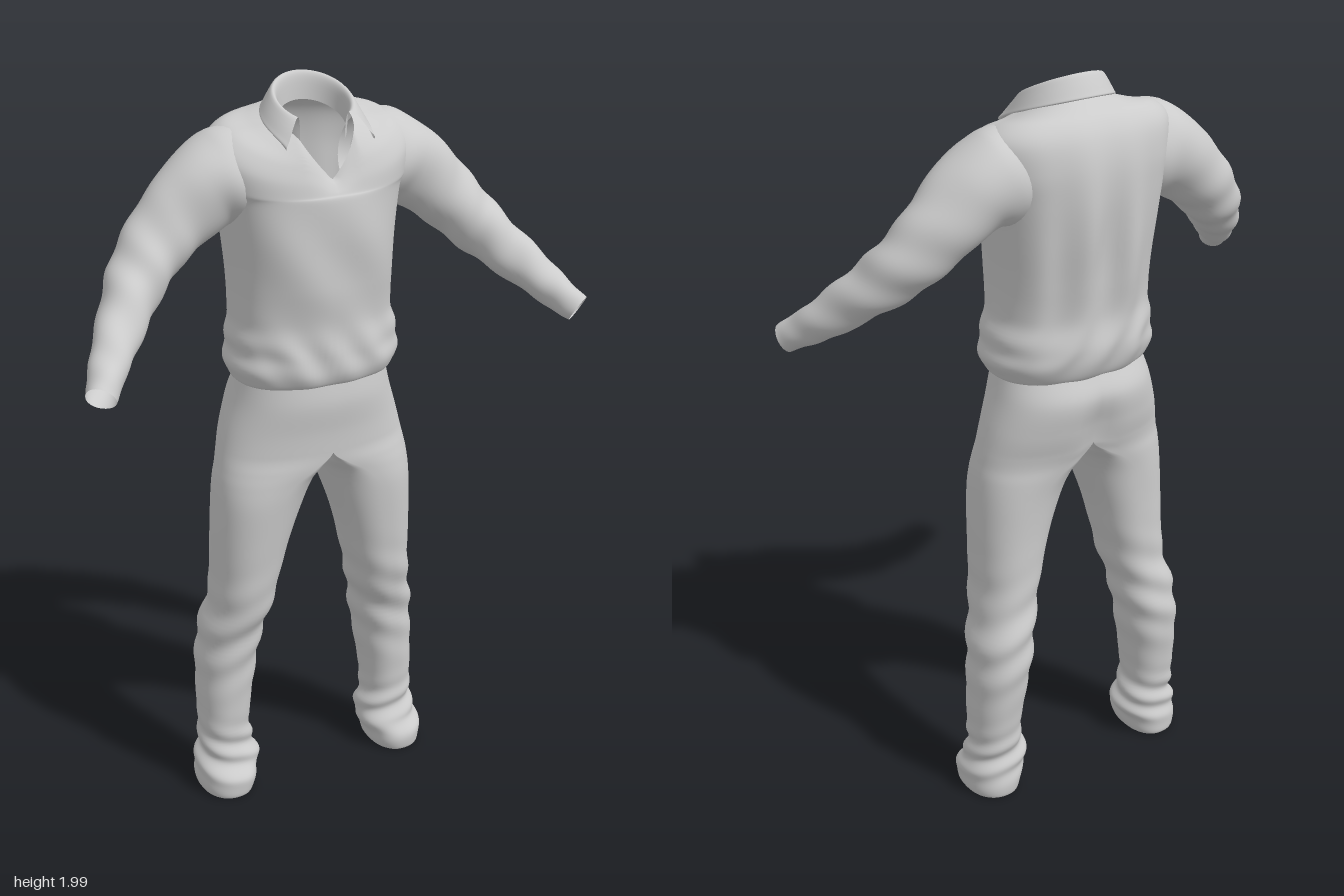
import * as THREE from 'three';

const { sin, cos, abs, sign, max, min, exp, PI } = Math;
const material = new THREE.MeshStandardMaterial({ color: 0xcccccc, side: THREE.DoubleSide });

// Surface from a point rule: u runs along the part, v across or around it
function surface(name, rows, cols, closed, point, flip = false) {
  const positions = [], index = [], stride = closed ? cols : cols + 1;
  for (let i = 0; i <= rows; i++)
    for (let j = 0; j < stride; j++) positions.push(...point(i / rows, j / cols));
  for (let i = 0; i < rows; i++)
    for (let j = 0; j < cols; j++) {
      const k = closed ? (j + 1) % cols : j + 1;
      const a = i * stride + j, b = a + stride, c = i * stride + k, d = c + stride;
      index.push(...(flip ? [a, c, b, c, d, b] : [a, b, c, c, b, d]));
    }
  const geometry = new THREE.BufferGeometry();
  geometry.setAttribute('position', new THREE.Float32BufferAttribute(positions, 3));
  geometry.setIndex(index);
  geometry.computeVertexNormals();
  const mesh = new THREE.Mesh(geometry, material);
  mesh.name = name;
  return mesh;
}

// Smooth interpolation through rows of section values
function sample(sections, u) {
  const n = sections.length - 1, f = u * n, i = min(n - 1, Math.floor(f)), t = f - i;
  const at = (k) => sections[max(0, min(n, k))];
  return sections[i].map((_, k) => {
    const [a, b, c, d] = [at(i - 1)[k], at(i)[k], at(i + 1)[k], at(i + 2)[k]];
    return b + 0.5 * t * (c - a + t * (2 * a - 5 * b + 4 * c - d + t * (3 * (b - c) + d - a)));
  });
}

const power = (s, e) => sign(s) * abs(s) ** e;
const bump = (x, centre, width) => exp(-(((x - centre) / width) ** 2));

// Shirt body: back height, half width, front z, back z, front drop, V depth, shoulder lift
const TORSO = [
  [1.265, 0.19, 0.09, -0.17, 0, 0, 0],
  [1.235, 0.213, 0.105, -0.185, 0, 0, 0],
  [1.265, 0.228, 0.12, -0.203, 0, 0, 0],
  [1.32, 0.232, 0.12, -0.213, 0, 0, 0],
  [1.4, 0.216, 0.115, -0.205, 0, 0, 0],
  [1.5, 0.215, 0.125, -0.215, 0, 0, 0],
  [1.62, 0.225, 0.13, -0.227, 0, 0, 0],
  [1.72, 0.24, 0.125, -0.232, 0, 0, 0],
  [1.8, 0.26, 0.118, -0.228, 0.06, 0, 0],
  [1.86, 0.265, 0.11, -0.213, 0.09, 0.02, 0.03],
  [1.9, 0.225, 0.1, -0.188, 0.1, 0.04, 0.035],
  [1.925, 0.16, 0.092, -0.155, 0.1, 0.06, 0.02],
  [1.945, 0.094, 0.085, -0.12, 0.1, 0.075, 0.015],
];

function torsoPoint(u, v) {
  const a = v * 2 * PI;
  const [h, w, zf, zb, drop, vee, lift] = sample(TORSO, u);
  let x = w * power(cos(a), 0.85);
  let z = (zf + zb) / 2 + ((zf - zb) / 2) * power(sin(a), 0.85);
  let y = h - (drop * (1 + sin(a))) / 2 + lift * cos(a) ** 2;
  if (sin(a) > 0) y -= vee * max(0, 1 - abs(x) / 0.075);
  // Long folds down the back, soft folds in front, gathers above the hem
  const middle = bump(h, 1.56, 0.2), face = sin(a);
  if (face < 0) z -= face * middle * (0.011 * cos(x * 48 + 0.5) + 0.006 * sin(x * 25 + y * 9));
  else z += face * middle * 0.005 * sin(x * 26 + y * 19);
  const gather = bump(h, 1.31, 0.07);
  z += face * gather * 0.006 * sin(x * 55 + y * 30);
  x += cos(a) * gather * (0.006 * sin(y * 75) + 0.006 * sign(x));
  return [x, y, z];
}

// Sleeve: centre x, y, z and radius from shoulder to cuff
const SLEEVE = [
  [0.16, 1.785, -0.065, 0.105],
  [0.22, 1.77, -0.068, 0.12],
  [0.29, 1.74, -0.068, 0.108],
  [0.38, 1.665, -0.06, 0.091],
  [0.46, 1.585, -0.028, 0.079],
  [0.53, 1.51, 0.03, 0.066],
  [0.6, 1.435, 0.11, 0.053],
  [0.645, 1.387, 0.172, 0.043],
  [0.67, 1.362, 0.205, 0.038],
];

function sleevePoint(side) {
  return (u, v) => {
    const a = v * 2 * PI;
    const [x, y, z, r] = sample(SLEEVE, u);
    const centre = new THREE.Vector3(x, y, z);
    const [p, q] = [sample(SLEEVE, max(0, u - 0.02)), sample(SLEEVE, min(1, u + 0.02))];
    const along = new THREE.Vector3(q[0] - p[0], q[1] - p[1], q[2] - p[2]).normalize();
    const up = new THREE.Vector3(0, 1, 0).addScaledVector(along, -along.y).normalize();
    const across = up.clone().cross(along);
    // Diagonal creases gathering at the elbow and forearm
    const crease = 0.05 * sin(u * 46 + 2 * a + side) * bump(u, 0.62, 0.25) + 0.025 * sin(u * 21 - 3 * a);
    centre.addScaledVector(up, r * (1 + crease) * cos(a));
    centre.addScaledVector(across, r * (1 + crease) * sin(a));
    return [side * centre.x, centre.y, centre.z];
  };
}

// Trouser half: height, inner x, middle x, outer x, front z, back z
const LEG = [
  [0.02, 0.265, 0.265, 0.265, -0.05, -0.05],
  [0.018, 0.225, 0.265, 0.315, 0.02, -0.12],
  [0.01, 0.2, 0.265, 0.34, 0.046, -0.15],
  [0.06, 0.183, 0.26, 0.348, 0.048, -0.152],
  [0.1, 0.168, 0.255, 0.342, 0.02, -0.146],
  [0.14, 0.178, 0.255, 0.33, 0.008, -0.143],
  [0.2, 0.19, 0.26, 0.328, 0.005, -0.148],
  [0.3, 0.18, 0.255, 0.328, 0.01, -0.16],
  [0.4, 0.165, 0.245, 0.325, 0.015, -0.172],
  [0.5, 0.15, 0.232, 0.315, 0.027, -0.17],
  [0.6, 0.127, 0.21, 0.293, 0.055, -0.153],
  [0.7, 0.103, 0.195, 0.288, 0.065, -0.15],
  [0.8, 0.075, 0.18, 0.286, 0.075, -0.15],
  [0.9, 0.038, 0.155, 0.282, 0.085, -0.155],
  [0.96, 0.015, 0.11, 0.277, 0.09, -0.163],
  [1.0, 0, 0.05, 0.27, 0.095, -0.172],
  [1.04, 0, 0, 0.262, 0.097, -0.187],
  [1.1, 0, 0, 0.247, 0.1, -0.203],
  [1.18, 0, 0, 0.222, 0.108, -0.213],
  [1.25, 0, 0, 0.205, 0.1, -0.183],
  [1.3, 0, 0, 0.2, 0.095, -0.175],
];

function legPoint(side) {
  return (u, v) => {
    const a = v * 2 * PI, c = power(cos(a), 0.88), s = power(sin(a), 0.88);
    let [y, xi, xm, xo, zf, zb] = sample(LEG, u);
    xi = max(0, xi);
    xm = max(xi, xm);
    let x = xm + c * (c > 0 ? xo - xm : xm - xi);
    let z = (zf + zb) / 2 + ((zf - zb) / 2) * s;
    // Cleft of the seat, knee folds and bunching over the hem
    if (s < 0) z -= s * 0.022 * bump(x, 0, 0.045) * bump(y, 1.08, 0.09);
    const knee = bump(y, 0.5, 0.14), ankle = bump(y, 0.13, 0.07);
    const fold = 0.005 * knee * sin(y * 60 + x * 30 + side) + 0.006 * ankle * sin(y * 95 + a * 2 + side);
    z += s * fold;
    x += c * fold;
    return [side * x, max(0, y), z];
  };
}

// Blend the shading of the two trouser halves across the centre seam
function softenSeam(mesh) {
  const { position, normal } = mesh.geometry.attributes;
  for (let i = 0; i < position.count; i++) {
    if (abs(position.getX(i)) > 0.001 || position.getY(i) < 1.03) continue;
    const n = new THREE.Vector3(0, normal.getY(i), normal.getZ(i)).normalize();
    normal.setXYZ(i, 0, n.y, n.z);
  }
  return mesh;
}

// Folded collar: outward offset and height from inner band over the fold to leaf edge
const COLLAR = [[-0.01, -0.07], [-0.008, -0.025], [-0.003, -0.004], [0.006, 0], [0.018, -0.018], [0.031, -0.042], [0.036, -0.052], [0.03, -0.056]];

function collarPoint(u, v) {
  const s = u * 2 - 1, angle = s * PI * 0.74;
  const [out, rise] = sample(COLLAR, v);
  const r = 0.097 + out * (1 + 0.3 * s ** 6), tip = max(0, v - 0.4) * s ** 8;
  const foldZ = -0.02 - 0.09 * cos(angle);
  return [
    r * sin(angle) + sign(s) * tip * 0.035,
    1.998 - 0.5 * (foldZ + 0.11) + rise - tip * 0.02,
    -0.02 - (r - 0.007) * cos(angle) + tip * 0.012,
  ];
}

export function createModel() {
  const model = new THREE.Group();
  model.name = 'outfit';
  const shirt = new THREE.Group(), trousers = new THREE.Group();
  shirt.name = 'shirt';
  trousers.name = 'trousers';
  shirt.add(surface('shirtBody', 96, 112, true, torsoPoint));
  shirt.add(surface('collar', 64, 24, false, collarPoint));
  for (const [side, label] of [[1, 'left'], [-1, 'right']]) {
    shirt.add(surface(label + 'Sleeve', 80, 40, true, sleevePoint(side), side < 0));
    trousers.add(softenSeam(surface(label + 'TrouserLeg', 140, 56, true, legPoint(side), side < 0)));
  }
  model.add(shirt, trousers);
  return model;
}
